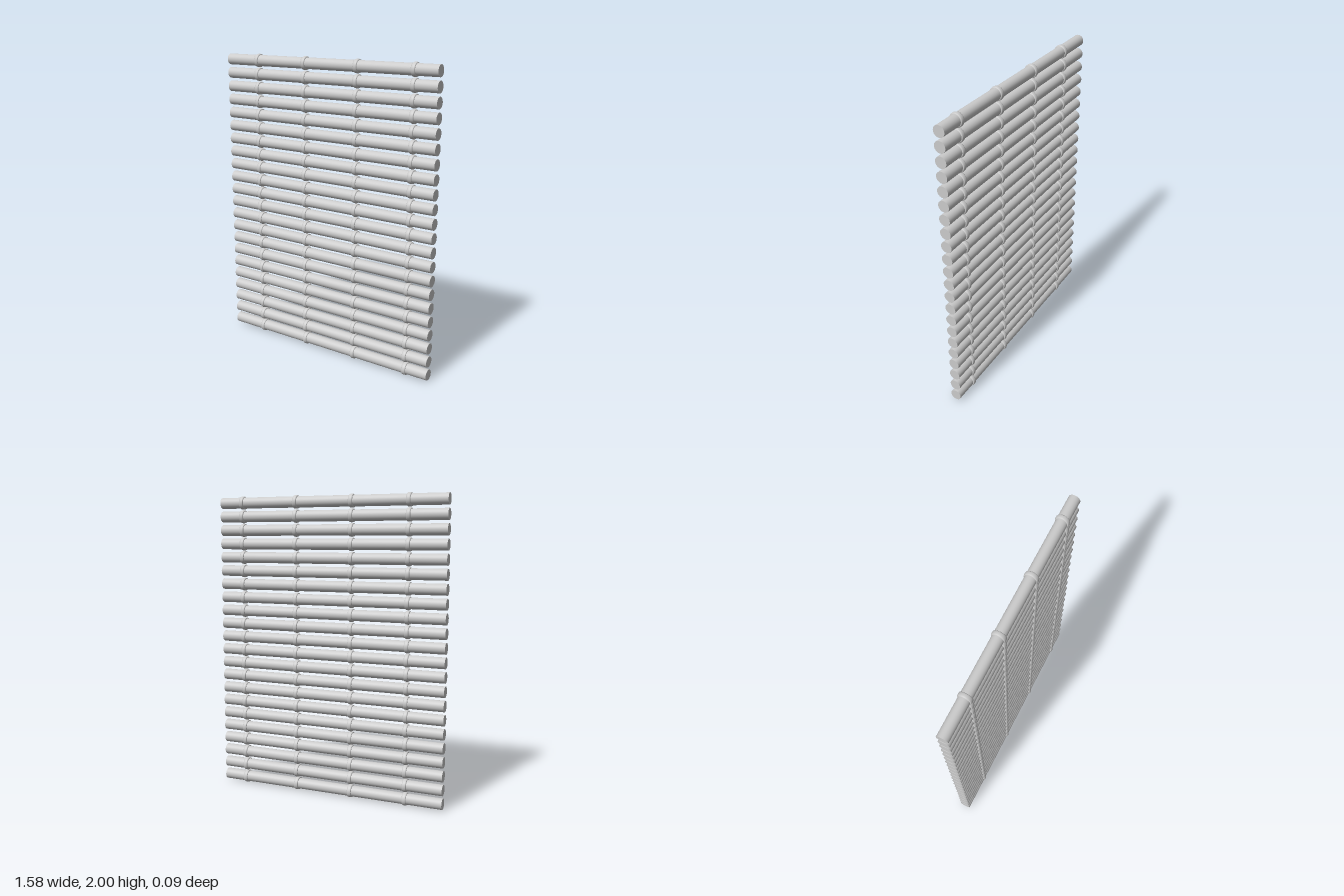
import * as THREE from 'three';

const POLES = 22;
const HALF_LENGTH = 0.792;
const POLE_RADIUS = 0.0365;
const RING_RADIUS = 0.044;
const RING_HALF_WIDTH = 0.0145;
const RING_X = [-0.542, -0.16, 0.233, 0.63];

export function createModel() {
  const model = new THREE.Group();
  model.name = 'poleScreen';
  const material = new THREE.MeshStandardMaterial({ color: 0xcccccc });

  // Smooth round pole lying along x
  const poleGeometry = new THREE.CylinderGeometry(POLE_RADIUS, POLE_RADIUS, HALF_LENGTH * 2, 32);
  poleGeometry.rotateZ(-Math.PI / 2);

  // Raised node ring with a rounded outer face, its foot sunk into the pole
  const profile = [new THREE.Vector2(POLE_RADIUS - 0.002, -RING_HALF_WIDTH)];
  for (let i = 0; i <= 8; i++) {
    const a = -Math.PI / 2 + (Math.PI * i) / 8;
    const rise = RING_RADIUS - POLE_RADIUS;
    profile.push(new THREE.Vector2(
      POLE_RADIUS + rise * Math.sqrt(Math.cos(a) + 1e-9),
      RING_HALF_WIDTH * Math.sin(a)
    ));
  }
  profile.push(new THREE.Vector2(POLE_RADIUS - 0.002, RING_HALF_WIDTH));
  const ringGeometry = new THREE.LatheGeometry(profile, 32);
  ringGeometry.rotateZ(-Math.PI / 2);

  // Stack the poles evenly from the ground to the top
  for (let i = 0; i < POLES; i++) {
    const row = new THREE.Group();
    row.name = `poleRow${i + 1}`;
    row.position.y = RING_RADIUS + ((2 - 2 * RING_RADIUS) * i) / (POLES - 1);

    const pole = new THREE.Mesh(poleGeometry, material);
    pole.name = 'pole';
    row.add(pole);

    RING_X.forEach((x, k) => {
      const ring = new THREE.Mesh(ringGeometry, material);
      ring.name = `nodeRing${k + 1}`;
      ring.position.x = x;
      row.add(ring);
    });
    model.add(row);
  }
  return model;
}
